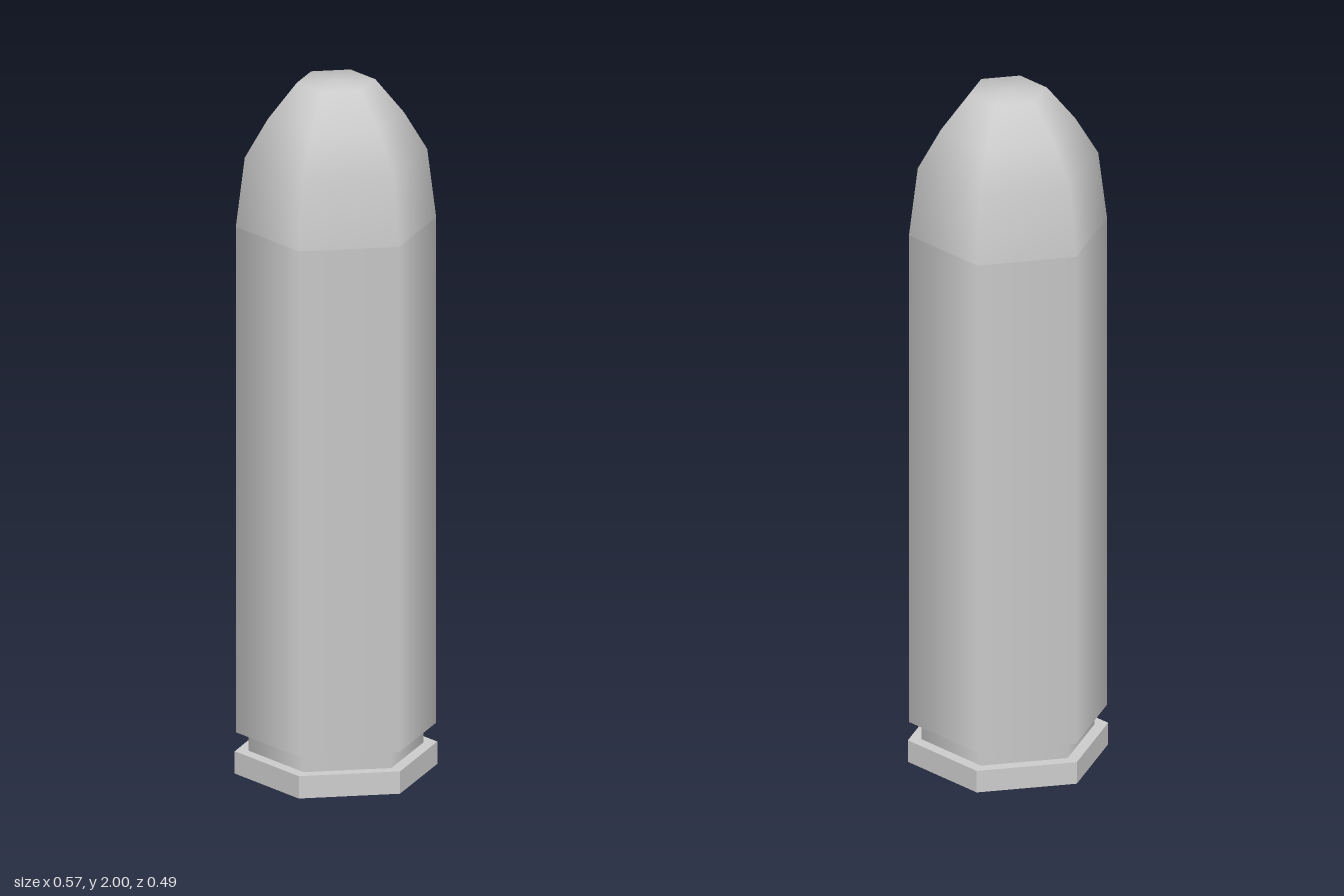
import * as THREE from 'three';

const SIDES = 6;
const TURN = Math.PI / 6; // puts two corners on the x axis

export function createModel() {
  const group = new THREE.Group();
  const smooth = new THREE.MeshStandardMaterial({ color: 0xcccccc });
  const flat = new THREE.MeshStandardMaterial({ color: 0xcccccc, flatShading: true });

  const add = (name, geometry, material) => {
    const mesh = new THREE.Mesh(geometry, material);
    mesh.name = name;
    group.add(mesh);
  };

  // Six-sided prism between two heights
  const prism = (radius, bottom, top) =>
    new THREE.CylinderGeometry(radius, radius, top - bottom, SIDES, 1, false, TURN)
      .translate(0, (bottom + top) / 2, 0);

  // Base rim, extractor groove and long case
  add('rim', prism(0.283, 0, 0.065), flat);
  add('groove', prism(0.245, 0.065, 0.12), smooth);
  add('case', prism(0.28, 0.12, 1.59), smooth);

  // Rounded tip with a small blunt top
  const profile = [[0.28, 1.59], [0.255, 1.79], [0.19, 1.9], [0.11, 2], [0, 2]]
    .map(([r, y]) => new THREE.Vector2(r, y));
  add('tip', new THREE.LatheGeometry(profile, SIDES, TURN), smooth);

  return group;
}
